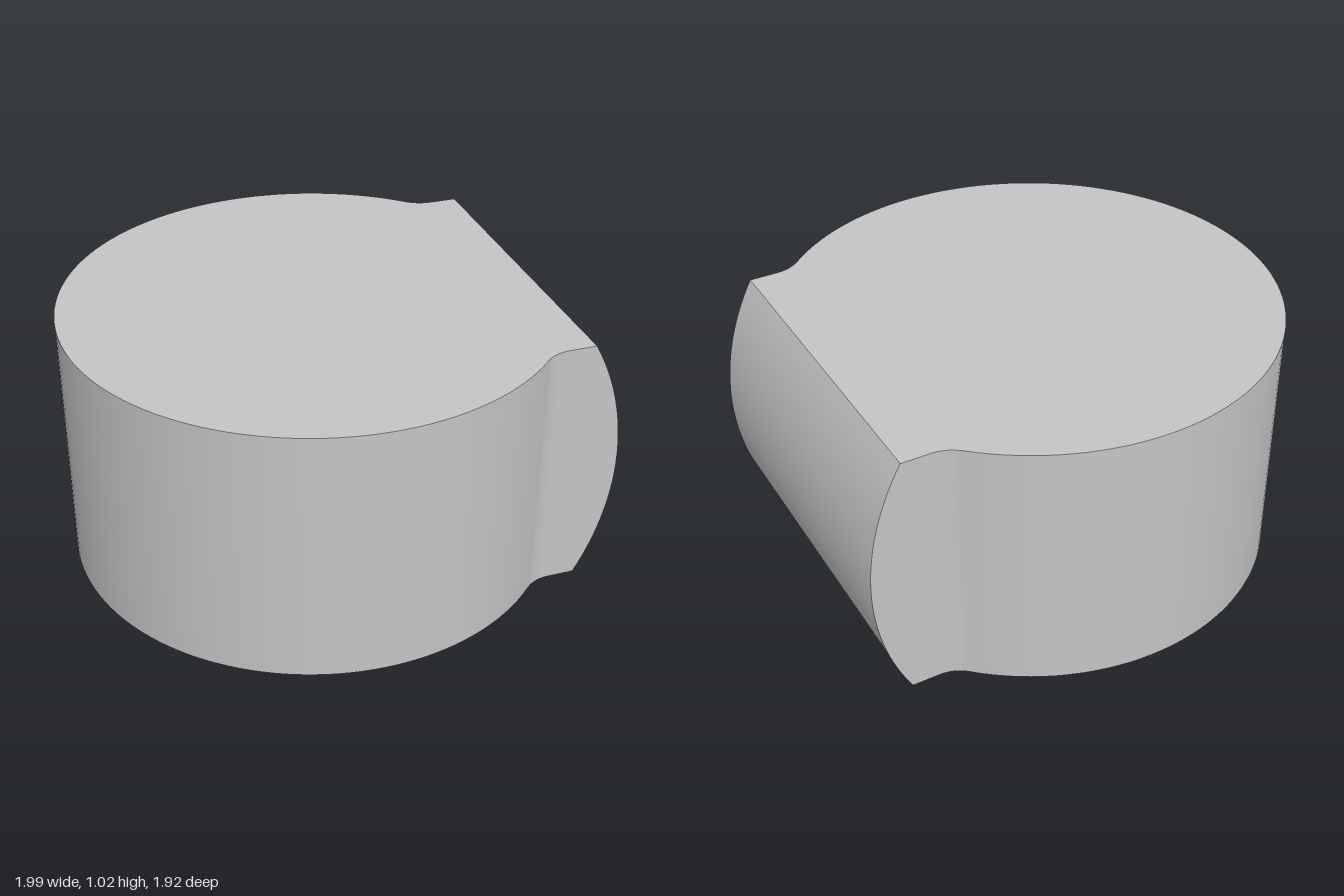
import * as THREE from 'three';
import { toCreasedNormals } from 'three/addons/utils/BufferGeometryUtils.js';

const HEIGHT = 1.02, RADIUS = 0.96;
const HALF_WIDTH = 0.664;          // half width of the block on the side of the drum
const EDGE = 0.863, BULGE = 0.136; // block end at top/bottom, and how far it bows out
const FILLET = 0.15;               // blend between drum and block

export function createModel() {
  const group = new THREE.Group();
  group.name = 'drumWithBowedBlock';
  const grey = new THREE.MeshStandardMaterial({ color: 0xc4c4c4 });
  grey.name = 'grey';

  // Outline: drum arc, fillets, straight block sides
  const cy = HALF_WIDTH + FILLET;
  const cx = Math.sqrt((RADIUS + FILLET) ** 2 - cy * cy);
  const a = Math.atan2(cy, cx);
  const outline = new THREE.Shape();
  outline.moveTo(EDGE, HALF_WIDTH);
  outline.lineTo(cx, HALF_WIDTH);
  outline.absarc(cx, cy, FILLET, -Math.PI / 2, a - Math.PI, true);
  outline.absarc(0, 0, RADIUS, a, 2 * Math.PI - a, false);
  outline.absarc(cx, -cy, FILLET, Math.PI - a, Math.PI / 2, true);
  outline.lineTo(EDGE, -HALF_WIDTH);
  outline.closePath();

  const geometry = new THREE.ExtrudeGeometry(outline, {
    depth: HEIGHT, steps: 32, bevelEnabled: false, curveSegments: 48,
  });

  // Bow the block's end face outward along a circular arc over the height
  const half = HEIGHT / 2;
  const bow = (half * half + BULGE * BULGE) / (2 * BULGE);
  const pos = geometry.attributes.position;
  for (let i = 0; i < pos.count; i++) {
    if (pos.getX(i) < EDGE - 1e-4) continue;
    const h = pos.getZ(i) - half;
    pos.setX(i, EDGE + BULGE - bow + Math.sqrt(bow * bow - h * h));
  }

  geometry.rotateX(-Math.PI / 2);
  geometry.rotateY(-0.0565);
  geometry.translate(-0.04, 0, 0);

  const body = new THREE.Mesh(toCreasedNormals(geometry, Math.PI / 6), grey);
  body.name = 'body';
  group.add(body);
  return group;
}
